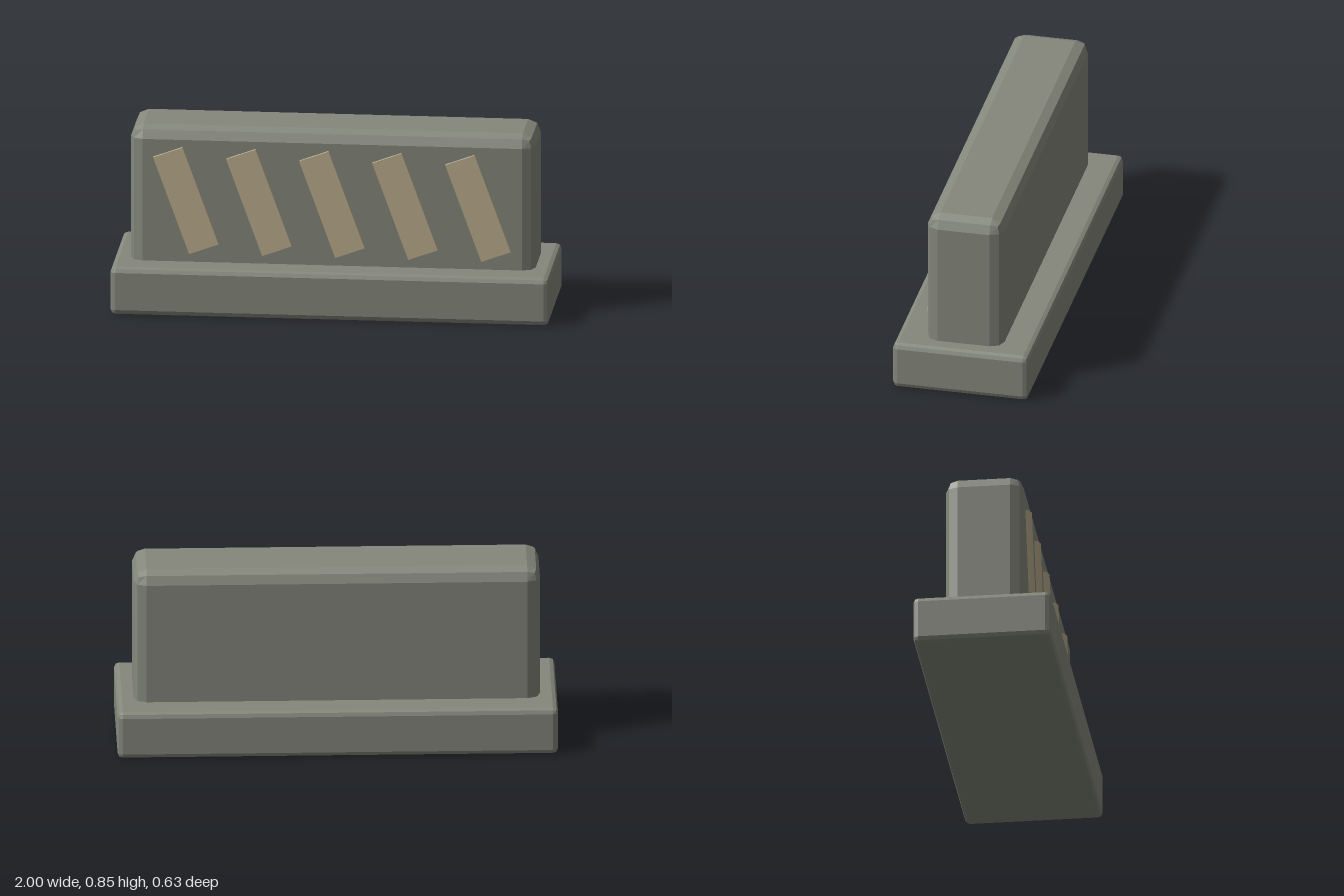
import * as THREE from 'three';

// Box whose edges and corners are rounded in two flat facets
function bevelBox(w, h, d, r) {
  const geo = new THREE.BoxGeometry(1, 1, 1, 3, 3, 3);
  const pos = geo.attributes.position;
  const inner = new THREE.Vector3(w / 2 - r, h / 2 - r, d / 2 - r);
  const p = new THREE.Vector3();
  const outward = (c) => (Math.abs(c) > 0.4 ? Math.sign(c) : 0);
  for (let i = 0; i < pos.count; i++) {
    p.fromBufferAttribute(pos, i);
    const dir = new THREE.Vector3(outward(p.x), outward(p.y), outward(p.z)).normalize().multiplyScalar(r);
    p.set(Math.sign(p.x), Math.sign(p.y), Math.sign(p.z)).multiply(inner).add(dir);
    pos.setXYZ(i, p.x, p.y, p.z);
  }
  const flat = geo.toNonIndexed();
  flat.computeVertexNormals();
  return flat;
}

export function createModel() {
  const model = new THREE.Group();
  model.name = 'roadBarrier';

  const concrete = new THREE.MeshStandardMaterial({ color: 0x85887c });
  concrete.name = 'concrete grey';
  const paint = new THREE.MeshStandardMaterial({ color: 0xbdaf8f });
  paint.name = 'stripe tan';

  const add = (name, geo, mat, x, y, z) => {
    const mesh = new THREE.Mesh(geo, mat);
    mesh.name = name;
    mesh.position.set(x, y, z);
    model.add(mesh);
    return mesh;
  };

  // Wide foot
  add('base', bevelBox(2, 0.223, 0.63, 0.024), concrete, 0, 0.1115, 0);

  // Upright slab, sunk into the foot
  const bottom = 0.12, top = 0.854;
  add('wall', bevelBox(1.845, top - bottom, 0.356, 0.058), concrete, 0, (top + bottom) / 2, 0);

  // Five slanted stripes on the front only
  for (let i = -2; i <= 2; i++) {
    const stripe = add('stripe' + (i + 3), new THREE.BoxGeometry(0.143, 0.481, 0.018), paint, i * 0.333, 0.513, 0.183);
    stripe.rotation.z = THREE.MathUtils.degToRad(20);
  }

  return model;
}
